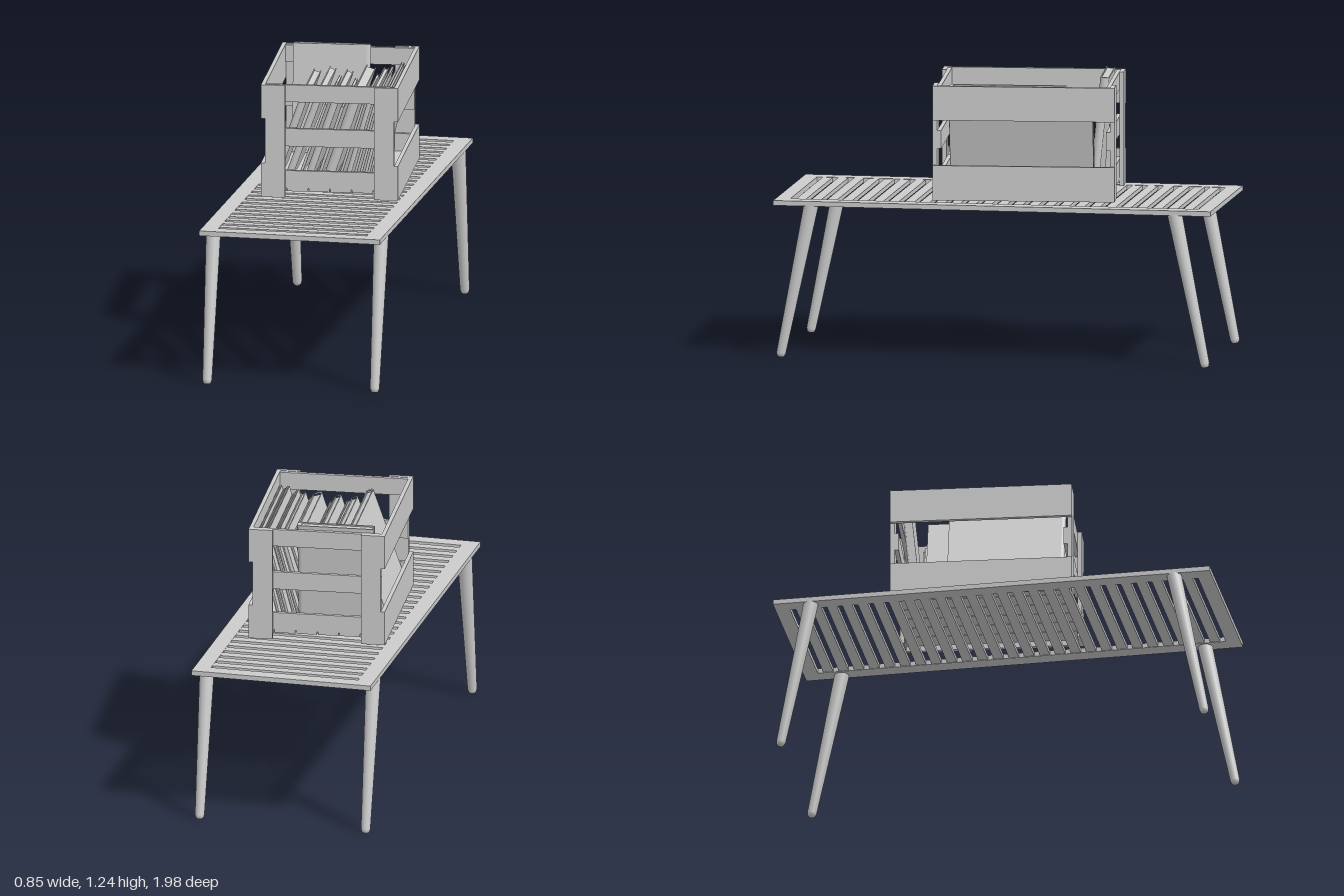
import * as THREE from 'three';

const mat = new THREE.MeshStandardMaterial({ color: 0xcccccc });

// Box given by its minimum and maximum on each axis
function slab(parent, name, [x0, x1], [y0, y1], [z0, z1]) {
  const mesh = new THREE.Mesh(new THREE.BoxGeometry(x1 - x0, y1 - y0, z1 - z0), mat);
  mesh.name = name;
  mesh.position.set((x0 + x1) / 2, (y0 + y1) / 2, (z0 + z1) / 2);
  parent.add(mesh);
  return mesh;
}

function createTable() {
  const table = new THREE.Group();
  table.name = 'slattedTable';
  table.rotation.y = -0.0125;

  // Frame with one large opening
  const W = 0.41, L = 0.985, iw = 0.337, il = 0.92;
  const rect = (Type, w, l) => new Type([[-w, -l], [w, -l], [w, l], [-w, l]].map(p => new THREE.Vector2(...p)));
  const shape = rect(THREE.Shape, W, L);
  shape.holes.push(rect(THREE.Path, iw, il));
  const geo = new THREE.ExtrudeGeometry(shape, { depth: 0.022, bevelEnabled: false });
  geo.rotateX(-Math.PI / 2);
  const frame = new THREE.Mesh(geo, mat);
  frame.name = 'tableFrame';
  frame.position.y = 0.685;
  table.add(frame);

  // Cross slats filling the opening
  const n = 26, slat = 0.0445, gap = (2 * il - n * slat) / (n + 1);
  for (let i = 0; i < n; i++) {
    const z = -il + gap + i * (slat + gap);
    slab(table, 'tableSlat', [-iw, iw], [0.687, 0.706], [z, z + slat]);
  }

  // Splayed tapering legs with rounded feet
  const profile = [[0, 0], [0.012, 0.001], [0.018, 0.008], [0.021, 0.02], [0.033, 0.699], [0, 0.699]]
    .map(p => new THREE.Vector2(...p));
  const legGeo = new THREE.LatheGeometry(profile, 24);
  for (const sx of [-1, 1]) for (const sz of [-1, 1]) {
    const leg = new THREE.Mesh(legGeo, mat);
    leg.name = 'tableLeg';
    leg.position.set(sx * 0.38, 0.003, sz * 0.958);
    leg.rotation.x = -sz * 0.2;
    table.add(leg);
  }
  return table;
}

function createCrate() {
  const crate = new THREE.Group();
  crate.name = 'crate';
  const W = 0.306, L = 0.405, t = 0.018, bottom = 0.716, top = 1.228;
  const both = (s, a, b) => (s > 0 ? [a, b] : [-b, -a]);

  for (const s of [-1, 1]) {
    // Wide side planks
    for (const y of [[bottom, 0.872], [1.075, top]])
      slab(crate, 'sidePlank', both(s, W - t, W), y, [-L, L]);
    // End posts and the rails behind them
    for (const e of [-1, 1])
      slab(crate, 'cornerPost', both(e, W - t - 0.089, W - t), [bottom, top], both(s, L - 0.02, L));
    for (const y of [[0.755, 0.835], [0.946, 1.027], [1.148, 1.226]])
      slab(crate, 'endRail', [-W + t, W - t], y, both(s, L - 0.038, L - 0.02));
  }

  // Floor boards
  for (let i = 0; i < 6; i++) {
    const x = -W + t + i * 0.0968;
    slab(crate, 'floorBoard', [x, x + 0.092], [0.741, 0.755], [-L + 0.02, L - 0.02]);
  }
  return crate;
}

// Two boards, inset pages and a half-round spine on the +z end; base centred at the origin
function createBook(thick, height, depth) {
  const book = new THREE.Group();
  book.name = 'book';
  const c = Math.min(0.005, thick / 4), h = thick / 2, d = depth / 2;
  for (const s of [-1, 1])
    slab(book, 'cover', s > 0 ? [h - c, h] : [-h, -h + c], [0, height], [-d, d - h]);
  slab(book, 'pages', [-h + c, h - c], [0.006, height - 0.006], [-d + 0.006, d - h]);
  const spine = new THREE.Mesh(new THREE.CylinderGeometry(h, h, height, 12, 1, false, -Math.PI / 2, Math.PI), mat);
  spine.name = 'spine';
  spine.position.set(0, height / 2, d - h);
  book.add(spine);
  return book;
}

export function createModel() {
  const model = new THREE.Group();
  model.name = 'tableWithBookCrate';
  model.add(createTable());

  const crate = createCrate();
  crate.position.z = -0.095;
  crate.rotation.y = 0.08;
  model.add(crate);

  // Leaning books: x of base, lean, thickness, height, depth, z of centre
  const books = [
    [-0.262, 0.34, 0.034, 0.43, 0.52, 0.105],
    [-0.205, 0.35, 0.032, 0.42, 0.55, 0.02],
    [-0.155, 0.34, 0.012, 0.39, 0.56, 0.05],
    [-0.115, 0.33, 0.032, 0.41, 0.56, 0.045],
    [-0.07, 0.32, 0.014, 0.38, 0.54, 0.06],
    [-0.025, 0.32, 0.045, 0.42, 0.58, 0.02],
    [0.025, 0.30, 0.012, 0.39, 0.60, 0.03],
    [0.06, 0.28, 0.022, 0.41, 0.62, 0.02],
    [0.09, 0.27, 0.012, 0.42, 0.63, 0.02],
    [0.115, 0.26, 0.012, 0.40, 0.61, 0.03],
    [0.138, 0.25, 0.014, 0.43, 0.64, 0.015],
    [0.16, 0.24, 0.010, 0.42, 0.62, 0.02],
    [0.18, 0.23, 0.012, 0.43, 0.64, 0.015],
  ];
  for (const [x, lean, thick, height, depth, z] of books) {
    const book = createBook(thick, height, depth);
    book.position.set(x, 0.757 + Math.sin(lean) * thick / 2, z);
    book.rotation.z = -lean;
    crate.add(book);
  }

  // Tall book resting against the back end
  const tall = createBook(0.04, 0.49, 0.345);
  tall.name = 'tallBook';
  tall.rotation.set(-0.1, Math.PI / 2, 0);
  tall.position.set(-0.076, 0.757, -0.295);
  crate.add(tall);

  return model;
}
